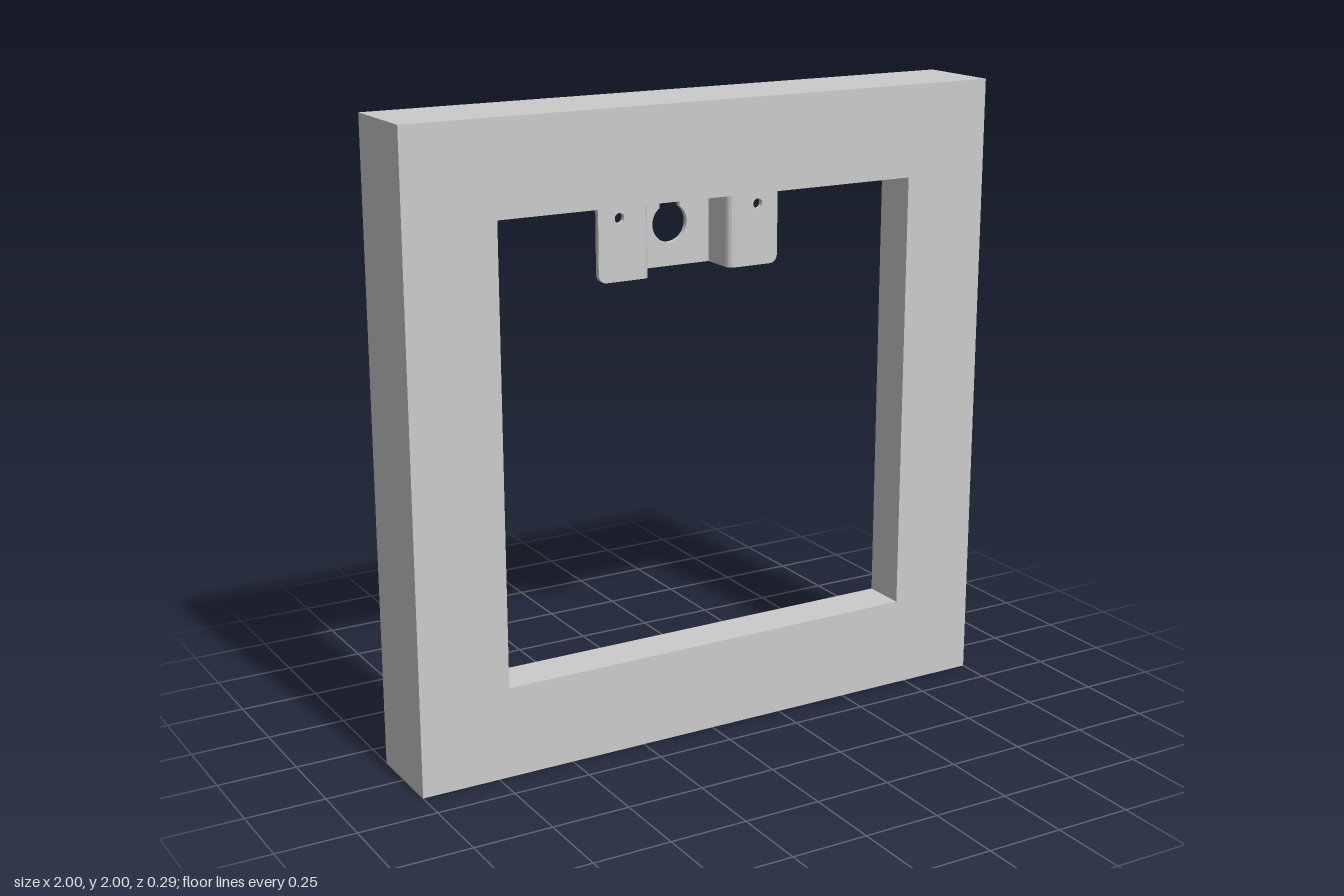
import * as THREE from 'three';
import { toCreasedNormals } from 'three/addons/utils/BufferGeometryUtils.js';

const material = new THREE.MeshStandardMaterial({ color: 0xcccccc });
const HALF = Math.PI / 2;

// frame
const BACK = -0.139, STEP = 0, FRONT = 0.143;
// bracket sheet: thickness, outer and inner bend radius, web position
const T = 0.018, R = 0.022, r = R - T, WEB = 0.14;
const PLATE_BACK = 0.143, PLATE_FRONT = PLATE_BACK - T;
const BOTTOM = 1.455, TOP = 1.845;

function extrude(shape, depth) {
  return new THREE.ExtrudeGeometry(shape, { depth, bevelEnabled: false, curveSegments: 16 });
}

function addMesh(group, name, geometry) {
  const mesh = new THREE.Mesh(toCreasedNormals(geometry, 0.6), material);
  mesh.name = name;
  group.add(mesh);
  return mesh;
}

function square(path, half) {
  path.moveTo(-half, 1 - half);
  path.lineTo(half, 1 - half);
  path.lineTo(half, 1 + half);
  path.lineTo(-half, 1 + half);
  path.closePath();
  return path;
}

function ring(opening, z0, z1) {
  const shape = square(new THREE.Shape(), 1);
  shape.holes.push(square(new THREE.Path(), opening));
  return extrude(shape, z1 - z0).translate(0, 0, z0);
}

// side tab with rounded outer corners and a screw hole
function flange(s) {
  const inner = s * (WEB + R), outer = s * 0.315, c = 0.03;
  const shape = new THREE.Shape();
  shape.moveTo(inner, BOTTOM);
  shape.lineTo(outer - s * c, BOTTOM);
  shape.quadraticCurveTo(outer, BOTTOM, outer, BOTTOM + c);
  shape.lineTo(outer, TOP - c);
  shape.quadraticCurveTo(outer, TOP, outer - s * c, TOP);
  shape.lineTo(inner, TOP);
  shape.closePath();
  shape.holes.push(new THREE.Path().absarc(s * 0.243, 1.648, 0.016, 0, Math.PI * 2));
  return extrude(shape, T).translate(0, 0, -T);
}

// bent web joining a tab to the raised plate: an S-shaped section run along y
function web() {
  const shape = new THREE.Shape();
  shape.moveTo(WEB + R, 0);
  shape.absarc(WEB + R, R, R, -HALF, -Math.PI, true);
  shape.absarc(WEB - r, PLATE_FRONT - r, r, 0, HALF, false);
  shape.lineTo(WEB - r, PLATE_BACK);
  shape.absarc(WEB - r, PLATE_BACK - R, R, HALF, 0, true);
  shape.absarc(WEB + R, R, r, Math.PI, Math.PI * 1.5, false);
  shape.closePath();
  return extrude(shape, TOP - BOTTOM).rotateX(-HALF).translate(0, BOTTOM, 0);
}

// raised plate with a keyhole
function plate() {
  const w = WEB - r;
  const shape = new THREE.Shape();
  shape.moveTo(-w, BOTTOM);
  shape.lineTo(w, BOTTOM);
  shape.lineTo(w, TOP);
  shape.lineTo(-w, TOP);
  shape.closePath();

  const cy = 1.59, radius = 0.061, slot = 0.035, slotTop = 1.768, c = 0.02;
  const a = Math.acos(slot / radius);
  const hole = new THREE.Path();
  hole.absarc(0, cy, radius, Math.PI - a, Math.PI * 2 + a, false);
  hole.lineTo(slot, slotTop - c);
  hole.quadraticCurveTo(slot, slotTop, slot - c, slotTop);
  hole.lineTo(-slot + c, slotTop);
  hole.quadraticCurveTo(-slot, slotTop, -slot, slotTop - c);
  hole.closePath();
  shape.holes.push(hole);
  return extrude(shape, T).translate(0, 0, -PLATE_BACK);
}

export function createModel() {
  const model = new THREE.Group();
  model.name = 'wallFrame';

  const frame = new THREE.Group();
  frame.name = 'frame';
  addMesh(frame, 'frontLip', ring(0.71, STEP, FRONT));
  addMesh(frame, 'backRim', ring(0.845, BACK, STEP));

  const bracket = new THREE.Group();
  bracket.name = 'hangerBracket';
  addMesh(bracket, 'keyholePlate', plate());
  for (const [s, side] of [[1, 'left'], [-1, 'right']]) {
    addMesh(bracket, side + 'Flange', flange(s));
    // the section is symmetric end to end, so a half-turn mirror uses scale
    addMesh(bracket, side + 'Web', web()).scale.x = s;
  }

  model.add(frame, bracket);
  return model;
}
